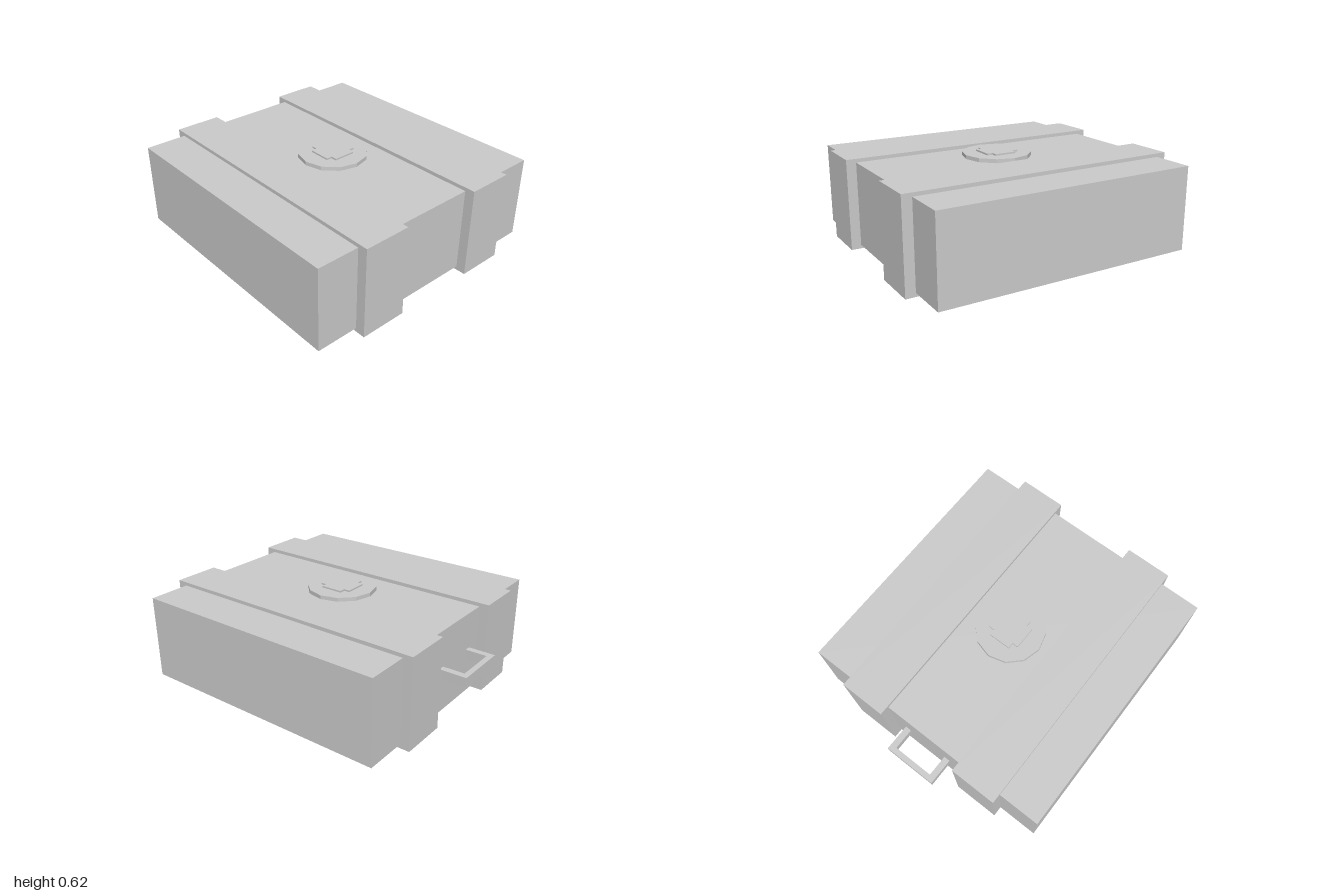
import * as THREE from 'three';

export function createModel() {
  const model = new THREE.Group();
  const material = new THREE.MeshStandardMaterial({ color: 0xcccccc, flatShading: true });

  const add = (name, geometry, x, y, z) => {
    const mesh = new THREE.Mesh(geometry, material);
    mesh.name = name;
    mesh.position.set(x, y, z);
    model.add(mesh);
    return mesh;
  };
  const outline = (points, Type = THREE.Shape) =>
    new Type(points.map(([x, y]) => new THREE.Vector2(x, y)));
  const extrude = (shape, depth) =>
    new THREE.ExtrudeGeometry(shape, { depth, bevelEnabled: false });
  const rect = (w, h) => [[-w / 2, -h / 2], [w / 2, -h / 2], [w / 2, h / 2], [-w / 2, h / 2]];

  // Crate body
  const midY = 0.304, midZ = 0.056;
  add('body', new THREE.BoxGeometry(1.75, 0.56, 1.75), 0, midY, midZ);

  // Two rectangular bands wrapped around the body
  const ring = outline(rect(1.88, 0.608));
  ring.holes.push(outline(rect(1.75, 0.56).reverse(), THREE.Path));
  const bandGeometry = extrude(ring, 0.312).translate(0, 0, -0.156).rotateY(Math.PI / 2);
  add('leftBand', bandGeometry, 0.438, midY, midZ);
  add('rightBand', bandGeometry, -0.44, midY, midZ);

  // Twelve-sided lid disc with a raised cross
  add('lidDisc', new THREE.CylinderGeometry(0.23, 0.23, 0.026, 12), -0.002, 0.597, midZ);
  const a = 0.115, b = 0.075;
  const cross = outline([
    [b, -a], [b, -b], [a, -b], [a, b], [b, b], [b, a],
    [-b, a], [-b, b], [-a, b], [-a, -b], [-b, -b], [-b, -a],
  ]);
  add('lidCross', extrude(cross, 0.012).rotateX(-Math.PI / 2), -0.002, 0.609, midZ);

  // U-shaped carrying handle at the back
  const handle = outline([
    [-0.183, 0], [-0.141, 0], [-0.141, 0.145], [0.141, 0.145],
    [0.141, 0], [0.183, 0], [0.183, 0.181], [-0.183, 0.181],
  ]);
  add('handle', extrude(handle, 0.064).rotateX(-Math.PI / 2), -0.002, 0.272, -0.819);

  return model;
}
